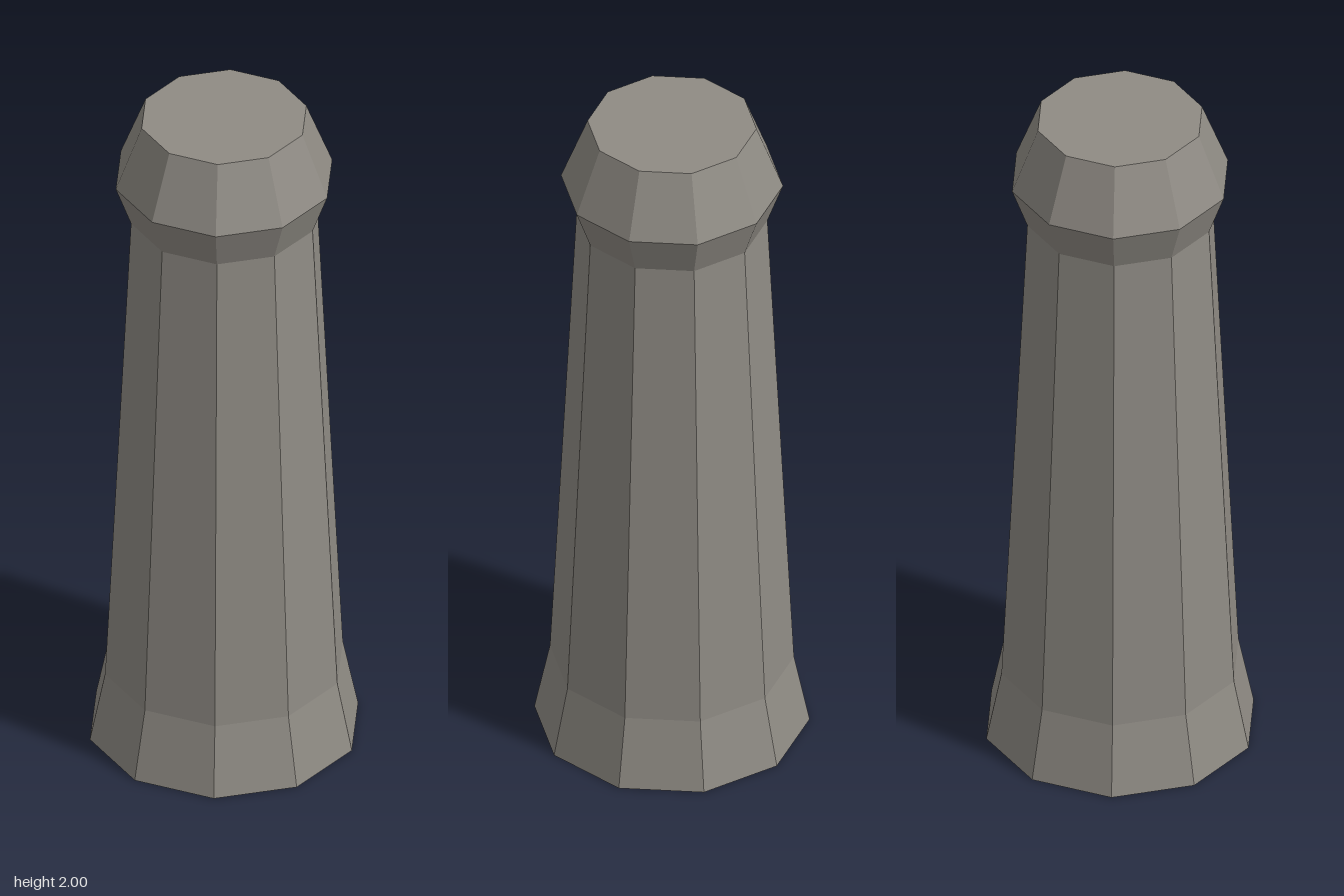
import * as THREE from 'three';

const SIDES = 10;

// Faceted ring of stone turned from a [radius, height] profile, with a corner on the x axis
function turned(name, profile, material) {
  const points = profile.map(([r, y]) => new THREE.Vector2(r, y));
  const geometry = new THREE.LatheGeometry(points, SIDES, Math.PI / 2).toNonIndexed();
  geometry.computeVertexNormals();
  const mesh = new THREE.Mesh(geometry, material);
  mesh.name = name;
  return mesh;
}

export function createModel() {
  const stone = new THREE.MeshStandardMaterial({ color: 0x8f8b84, flatShading: true });
  stone.name = 'grey stone';

  const post = new THREE.Group();
  post.name = 'post';
  post.add(
    // Flared foot, closed underneath
    turned('foot', [[0, 0], [0.378, 0], [0.335, 0.21]], stone),
    // Tapering shaft
    turned('shaft', [[0.335, 0.21], [0.262, 1.69]], stone),
    // Bulging cap with a flat top
    turned('cap', [[0.262, 1.69], [0.305, 1.81], [0.232, 2], [0, 2]], stone),
  );
  return post;
}
